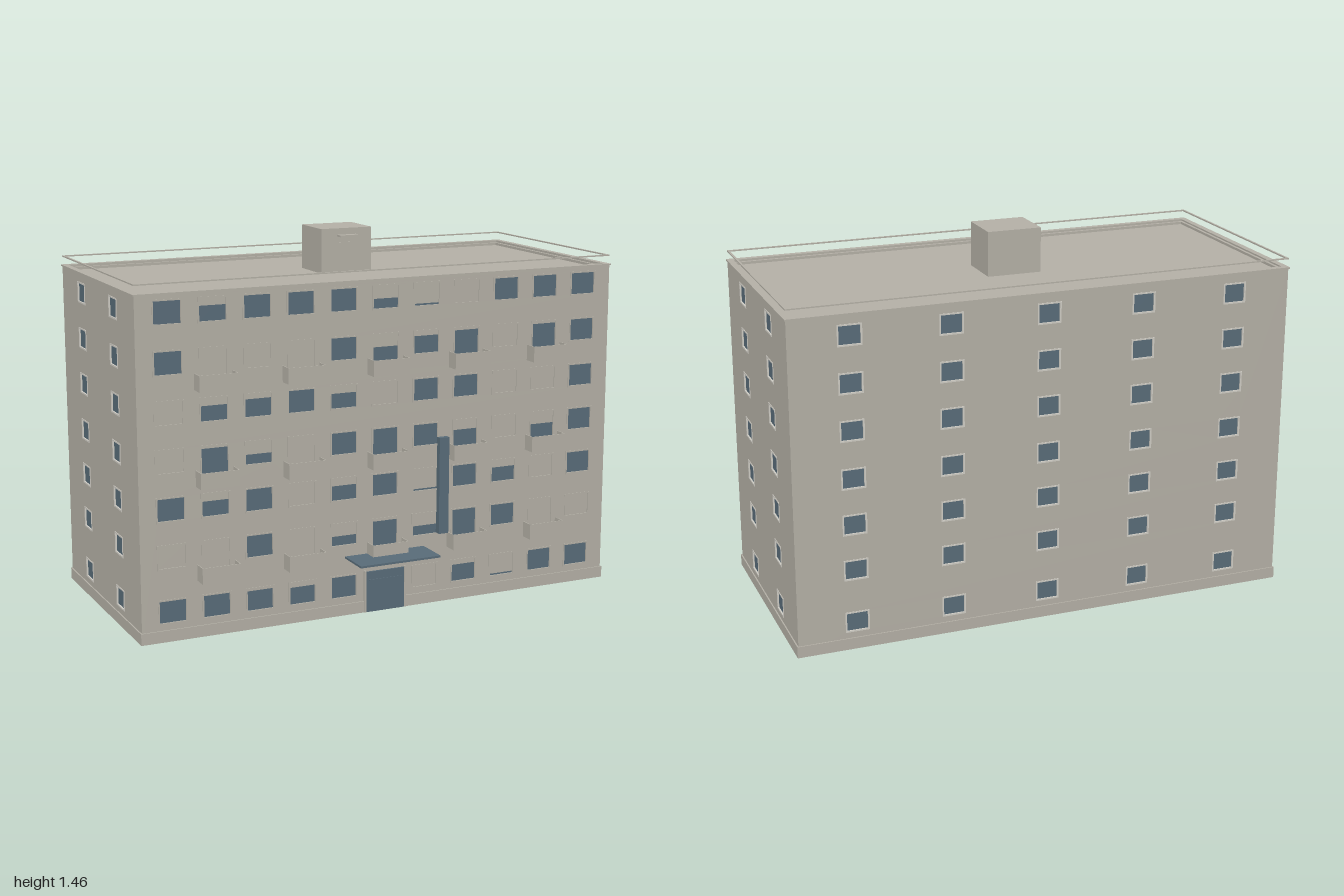
import * as THREE from 'three';

const concrete = new THREE.MeshStandardMaterial({ name: 'concrete', color: 0xb3afa5 });
const glass = new THREE.MeshStandardMaterial({ name: 'blueGlass', color: 0x586b78 });
const paleFrame = new THREE.MeshStandardMaterial({ name: 'paleFrame', color: 0xcfccc4 });

// Building extents
const HALF_W = 0.995, Z_FRONT = 0.378, Z_BACK = -0.518, ROOF = 1.285, TOP = 1.3;
const MID_Z = (Z_FRONT + Z_BACK) / 2, DEPTH = Z_FRONT - Z_BACK;

// Box given by its extents on each axis
function box(parent, name, mat, x0, x1, y0, y1, z0, z1) {
  const mesh = new THREE.Mesh(new THREE.BoxGeometry(x1 - x0, y1 - y0, z1 - z0), mat);
  mesh.position.set((x0 + x1) / 2, (y0 + y1) / 2, (z0 + z1) / 2);
  mesh.name = name;
  parent.add(mesh);
  return mesh;
}

function rectPath(x0, x1, y0, y1, Type = THREE.Path) {
  return new Type([[x0, y0], [x1, y0], [x1, y1], [x0, y1]].map(p => new THREE.Vector2(...p)));
}

// Flat ring with a rectangular hole, extruded along +z
function ring(name, mat, x0, x1, y0, y1, t, depth) {
  const shape = rectPath(x0, x1, y0, y1, THREE.Shape);
  shape.holes.push(rectPath(x0 + t, x1 - t, y0 + t, y1 - t));
  const mesh = new THREE.Mesh(new THREE.ExtrudeGeometry(shape, { depth, bevelEnabled: false }), mat);
  mesh.name = name;
  return mesh;
}

// Wall with window openings; its outer face lies on local z = 0
function facade(name, width, windows, frameMat) {
  const group = new THREE.Group();
  group.name = name;
  const shape = rectPath(-width / 2, width / 2, 0, TOP, THREE.Shape);
  for (const { x, y, w, h, blind = 0 } of windows) {
    const x0 = x - w / 2, x1 = x + w / 2, y1 = y + h;
    shape.holes.push(rectPath(x0, x1, y, y1));
    box(group, 'windowGlass', glass, x0, x1, y, y1, -0.009, -0.005);
    if (blind > 0) box(group, 'windowBlind', concrete, x0, x1, y1 - blind, y1, -0.005, -0.002);
    const frame = ring('windowFrame', frameMat, x0 - 0.003, x1 + 0.003, y - 0.003, y1 + 0.003, 0.006, 0.006);
    frame.position.z = -0.004;
    group.add(frame);
  }
  const wall = new THREE.Mesh(new THREE.ExtrudeGeometry(shape, { depth: 0.01, bevelEnabled: false }), concrete);
  wall.name = 'wall';
  wall.position.z = -0.01;
  group.add(wall);
  return group;
}

export function createModel() {
  const model = new THREE.Group();
  model.name = 'apartmentBlock';

  // Front windows: one string per floor, each digit is how far the blind is down (9 = closed)
  const sills = [0.07, 0.28, 0.46, 0.64, 0.82, 1.005, 1.19];
  const blinds = ['00120-92800', '99095150099', '03093080390', '91590004950',
    '93203900990', '09990521910', '03000589000'];
  const front = [];
  blinds.forEach((row, floor) => [...row].forEach((digit, col) => {
    if (digit === '-') return;
    const isDoor = floor % 2 === 1 && col % 2 === 1;
    const drop = isDoor ? 0.055 : 0;
    const full = digit === '9';
    front.push({
      x: (col - 5) * 0.1745, y: sills[floor] - drop, w: 0.11, h: 0.09 + drop,
      blind: full ? 0.09 + drop : 0.09 * Number(digit) / 9,
    });
  }));
  const frontWall = facade('frontFacade', HALF_W * 2, front, concrete);
  frontWall.position.z = Z_FRONT;
  model.add(frontWall);

  // Back and end walls with a regular window grid
  const floors = [0.11, 0.32, 0.5, 0.68, 0.865, 1.045, 1.225];
  const grid = xs => floors.flatMap(y => xs.map(x => ({ x, y: y - 0.038, w: 0.088, h: 0.076 })));
  const backWall = facade('backFacade', HALF_W * 2, grid([-0.765, -0.3825, 0, 0.3825, 0.765]), paleFrame);
  backWall.position.z = Z_BACK;
  backWall.rotation.y = Math.PI;
  model.add(backWall);
  for (const side of [-1, 1]) {
    const columns = [0.13, -0.265].map(z => -side * (z - MID_Z));
    const end = facade(side > 0 ? 'leftFacade' : 'rightFacade', DEPTH, grid(columns), paleFrame);
    end.position.set(side * HALF_W, 0, MID_Z);
    end.rotation.y = side * Math.PI / 2;
    model.add(end);
  }

  // Flat roof, parapet coping and roof rail
  box(model, 'roof', concrete, -HALF_W + 0.01, HALF_W - 0.01, ROOF - 0.01, ROOF, Z_BACK + 0.01, Z_FRONT - 0.01);
  const loop = (name, y, t, h, out) => {
    const mesh = ring(name, concrete, -HALF_W - out, HALF_W + out, -Z_FRONT - out, -Z_BACK + out, t, h);
    mesh.rotation.x = -Math.PI / 2;
    mesh.position.y = y;
    model.add(mesh);
  };
  loop('parapetInner', ROOF - 0.005, 0.022, 0.015, 0);
  loop('parapetCoping', TOP, 0.025, 0.006, 0.005);
  loop('roofRail', 1.337, 0.008, 0.005, 0);
  loop('plinth', 0, 0.006, 0.045, 0.005);

  // Roof access hut
  box(model, 'roofHut', concrete, -0.108, 0.108, ROOF, 1.46, -0.165, 0.025);
  box(model, 'hutDoor', concrete, -0.035, 0.035, ROOF, 1.405, 0.025, 0.028);
  box(model, 'hutCanopy', concrete, -0.04, 0.04, 1.428, 1.435, 0.025, 0.055);

  // Balconies: three thin parapet panels each
  for (const y of [0.22, 0.58, 0.943]) {
    for (let i = -2; i <= 2; i++) {
      const balcony = new THREE.Group();
      balcony.name = 'balcony';
      balcony.position.set(i * 0.349, y, Z_FRONT);
      box(balcony, 'balconyFront', concrete, -0.076, 0.076, 0, 0.062, 0.053, 0.056);
      for (const s of [-0.0745, 0.0745]) {
        box(balcony, 'balconySide', concrete, s - 0.0015, s + 0.0015, 0, 0.062, 0, 0.053);
      }
      model.add(balcony);
    }
  }

  // Entrance with canopy, and the tall stairwell window
  box(model, 'entranceDoor', glass, -0.082, 0.082, 0, 0.163, Z_FRONT - 0.014, Z_FRONT + 0.007);
  box(model, 'doorTransom', glass, -0.07, 0.07, 0.127, 0.131, Z_FRONT + 0.007, Z_FRONT + 0.01);
  for (const s of [-0.086, 0.086]) {
    box(model, 'doorJamb', concrete, s - 0.004, s + 0.004, 0, 0.168, Z_FRONT, Z_FRONT + 0.009);
  }
  box(model, 'entranceCanopy', glass, -0.17, 0.17, 0.228, 0.236, Z_FRONT, 0.521);
  box(model, 'stairWindow', glass, 0.226, 0.268, 0.283, 0.67, Z_FRONT - 0.004, 0.4);

  return model;
}
